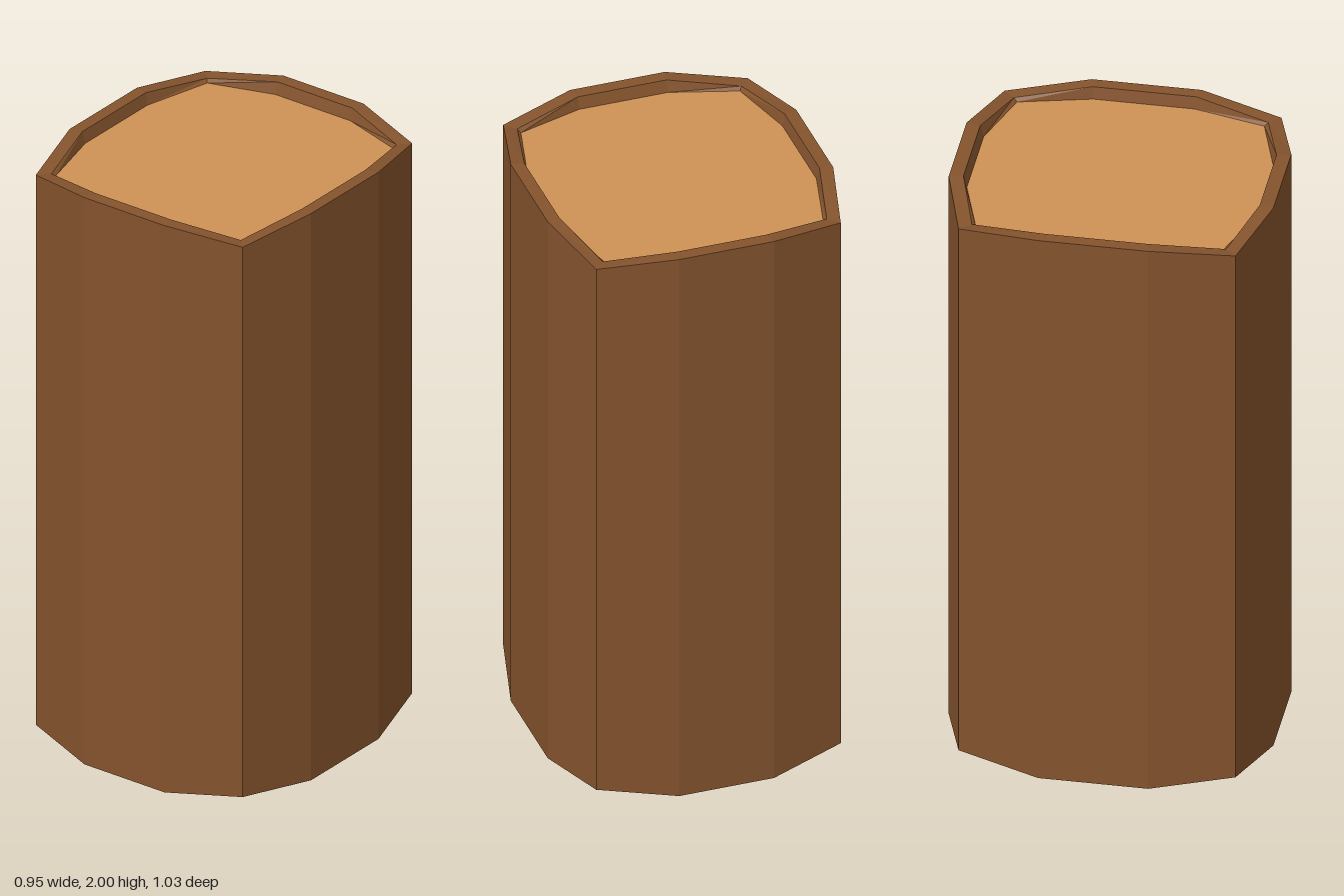
import * as THREE from 'three';

// Quarter outlines [x, z]: side point, corner, end point
const OUTER = [[0.473, 0.175], [0.405, 0.44], [0.157, 0.516]];
const LIP = [[0.431, 0.165], [0.371, 0.404], [0.147, 0.471]];
const CAP = [[0.422, 0.161], [0.363, 0.393], [0.147, 0.46]];
const HEIGHT = 2, DIP = 0.03, RECESS = 0.04;

// Mirror a quarter into a closed twelve-sided outline
function outline(q) {
  const r = [...q].reverse();
  return [
    ...q.map(([x, y]) => [x, y]),
    ...r.map(([x, y]) => [-x, y]),
    ...q.map(([x, y]) => [-x, -y]),
    ...r.map(([x, y]) => [x, -y]),
  ];
}

// Place an outline at a height, pulling its four corners inward by dip
function section(q, y, dip) {
  return outline(q).map(([x, z], i) => [x, i % 3 === 1 ? y + dip : y, -z]);
}

// Join consecutive sections with flat-shaded quads
function loft(sections) {
  const pos = [];
  for (let s = 0; s < sections.length - 1; s++) {
    const lo = sections[s], hi = sections[s + 1], n = lo.length;
    for (let i = 0; i < n; i++) {
      const j = (i + 1) % n;
      pos.push(...lo[i], ...lo[j], ...hi[j], ...lo[i], ...hi[j], ...hi[i]);
    }
  }
  const geo = new THREE.BufferGeometry();
  geo.setAttribute('position', new THREE.Float32BufferAttribute(pos, 3));
  geo.computeVertexNormals();
  return geo;
}

export function createModel() {
  const bark = new THREE.MeshStandardMaterial({ color: 0x84532d });
  bark.name = 'bark brown';
  const wood = new THREE.MeshStandardMaterial({ color: 0xce9155 });
  wood.name = 'cut wood tan';

  const group = new THREE.Group();
  group.name = 'log';

  // Bark shell with raised rims around both recessed ends
  const shell = new THREE.Mesh(loft([
    section(CAP, RECESS, 0),
    section(LIP, 0, DIP),
    section(OUTER, 0, DIP),
    section(OUTER, HEIGHT, -DIP),
    section(LIP, HEIGHT, -DIP),
    section(CAP, HEIGHT - RECESS, 0),
  ]), bark);
  shell.name = 'barkShell';
  group.add(shell);

  // Cut wood faces
  const face = new THREE.ShapeGeometry(
    new THREE.Shape(outline(CAP).map(([x, y]) => new THREE.Vector2(x, y))));
  for (const [name, y, turn] of [
    ['topCut', HEIGHT - RECESS, -1], ['bottomCut', RECESS, 1],
  ]) {
    const cut = new THREE.Mesh(face, wood);
    cut.name = name;
    cut.position.y = y;
    cut.rotation.x = turn * Math.PI / 2;
    group.add(cut);
  }
  return group;
}
